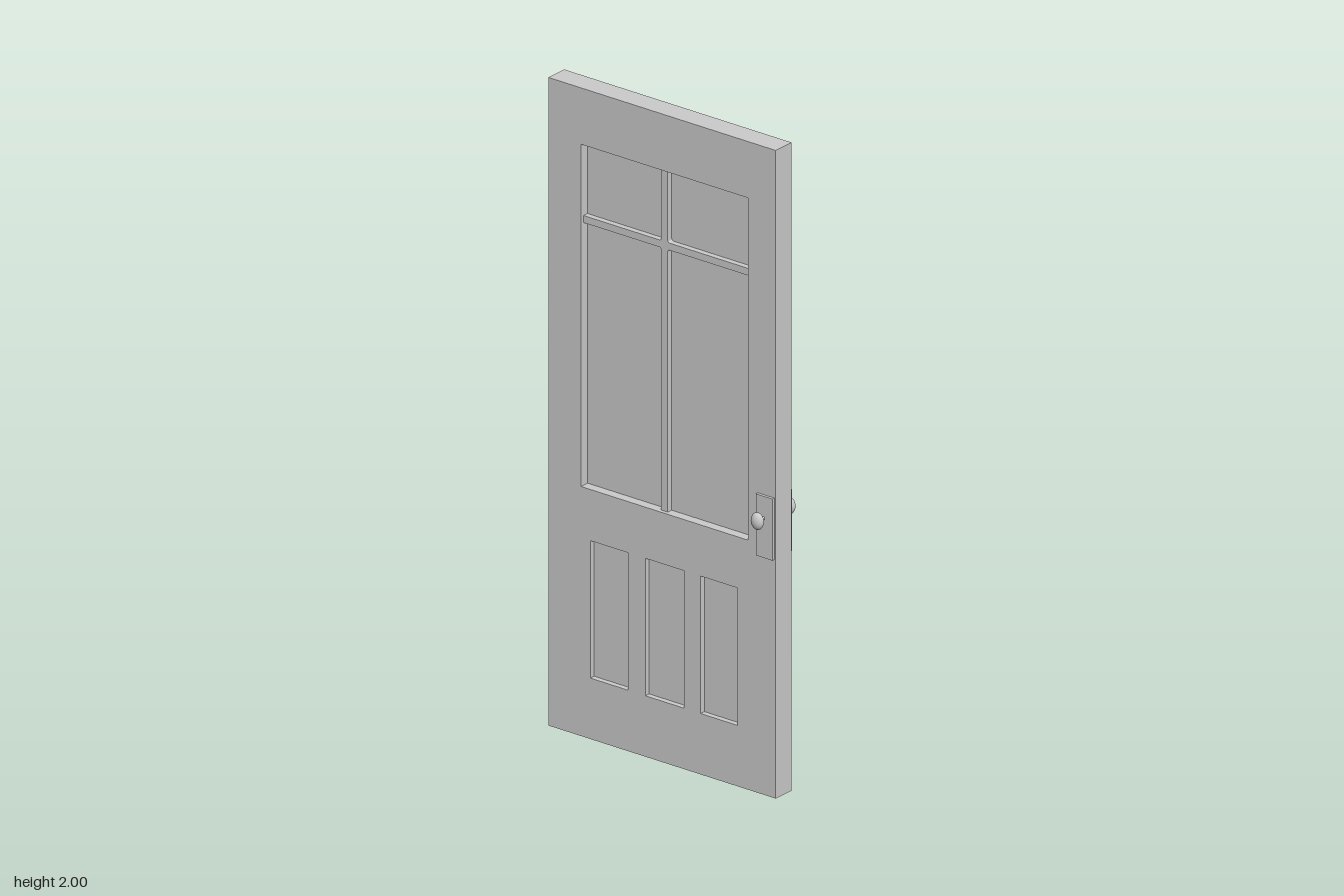
import * as THREE from 'three';

const grey = new THREE.MeshStandardMaterial({ color: 0xcccccc });

// Outlines are drawn as (z, y) and extruded along x, centred on x = 0
function slab(shape, thickness) {
  const g = new THREE.ExtrudeGeometry(shape, { depth: thickness, bevelEnabled: false, curveSegments: 4 });
  g.translate(0, 0, -thickness / 2);
  g.rotateY(-Math.PI / 2);
  return g;
}

function rect(target, [z0, z1, y0, y1]) {
  target.moveTo(z0, y0);
  target.lineTo(z1, y0);
  target.lineTo(z1, y1);
  target.lineTo(z0, y1);
  target.closePath();
  return target;
}

export function createModel() {
  const door = new THREE.Group();
  door.name = 'door';
  const add = (name, geometry, parent = door) => {
    const m = new THREE.Mesh(geometry, grey);
    m.name = name;
    parent.add(m);
    return m;
  };

  const T = 0.072;
  const win = [-0.294, 0.312, 0.77, 1.826];
  const panels = [[0.14, 0.273], [-0.06, 0.079], [-0.26, -0.124]].map(([a, b]) => [a, b, 0.188, 0.612]);

  // Door frame with window and panel openings
  const frame = rect(new THREE.Shape(), [-0.412, 0.412, 0, 2]);
  [win, ...panels].forEach((r) => frame.holes.push(rect(new THREE.Path(), r)));
  add('doorFrame', slab(frame, T));

  // Recessed infill, closed on both faces
  add('windowPane', slab(rect(new THREE.Shape(), win), 0.012));
  panels.forEach((r, i) => add('lowerPanel' + (i + 1), slab(rect(new THREE.Shape(), r), 0.038)));

  // Glazing bars: one cross with small fillets where the bars meet
  const [z0, z1, y0, y1] = win;
  const a = -0.013, b = 0.011, c = 1.58, d = 1.602, f = 0.007;
  const cross = new THREE.Shape();
  cross.moveTo(a, y0);
  cross.lineTo(b, y0);
  cross.lineTo(b, c - f);
  cross.quadraticCurveTo(b, c, b + f, c);
  cross.lineTo(z1, c);
  cross.lineTo(z1, d);
  cross.lineTo(b + f, d);
  cross.quadraticCurveTo(b, d, b, d + f);
  cross.lineTo(b, y1);
  cross.lineTo(a, y1);
  cross.lineTo(a, d + f);
  cross.quadraticCurveTo(a, d, a - f, d);
  cross.lineTo(z0, d);
  cross.lineTo(z0, c);
  cross.lineTo(a - f, c);
  cross.quadraticCurveTo(a, c, a, c - f);
  cross.closePath();
  add('glazingBars', slab(cross, 0.048));

  // Knob sets on both faces
  for (const s of [1, -1]) {
    const set = new THREE.Group();
    set.name = s > 0 ? 'leftKnobSet' : 'rightKnobSet';
    set.position.set(0, 0.858, 0.374);
    door.add(set);

    const plate = add('backPlate', new THREE.BoxGeometry(0.012, 0.19, 0.06), set);
    plate.position.set(s * 0.039, -0.027, 0.003);

    const stem = add('knobStem', new THREE.CylinderGeometry(0.0055, 0.0055, 0.03, 16), set);
    stem.rotation.z = Math.PI / 2;
    stem.position.x = s * 0.055;

    const knobShape = new THREE.SphereGeometry(1, 24, 16);
    knobShape.scale(0.0145, 0.026, 0.021);
    add('knob', knobShape, set).position.x = s * 0.0715;
  }
  return door;
}
